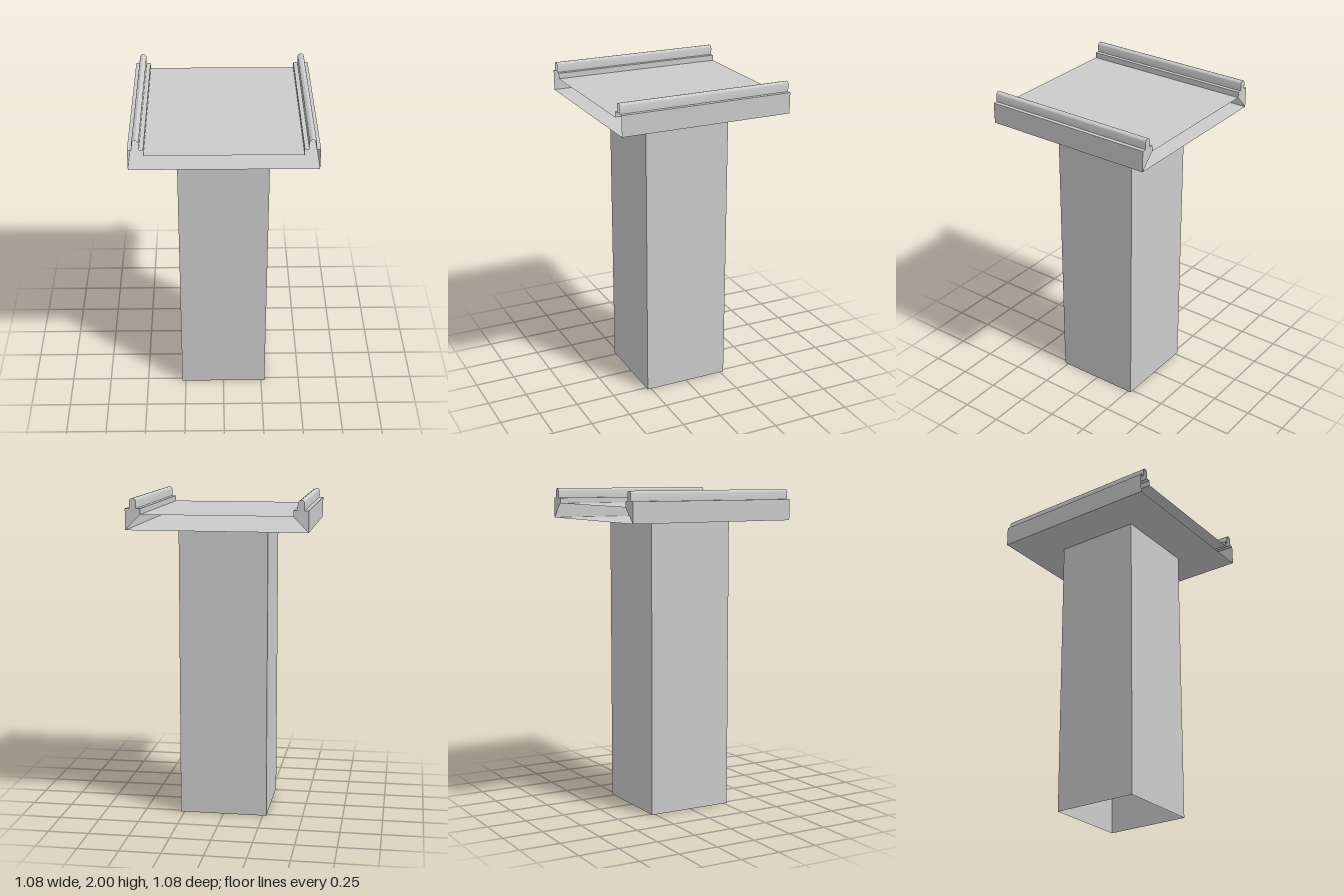
import * as THREE from 'three';
import { toCreasedNormals } from 'three/addons/utils/BufferGeometryUtils.js';

const HALF = 0.54;       // half width and half depth of the tray
const BASE = 1.813;      // underside of the tray
const DECK = 1.905;      // upper deck of the tray
const STEP = 1.94;       // shoulder of each rail
const RAIL_X = 0.495, RAIL_R = 0.02, INNER_X = 0.45;

// Section of one rail on the +x side, from the outer bottom corner to the deck
function railSection() {
  const pts = [[HALF, BASE], [HALF, STEP], [RAIL_X + RAIL_R, STEP]];
  const n = 12;
  for (let i = 0; i <= n; i++) {
    const a = (Math.PI * i) / n;
    pts.push([RAIL_X + RAIL_R * Math.cos(a), 2 - RAIL_R + RAIL_R * Math.sin(a)]);
  }
  pts.push([RAIL_X - RAIL_R, STEP], [INNER_X, STEP], [INNER_X, DECK]);
  return pts.map(([x, y]) => new THREE.Vector2(x, y));
}

// Sweeps a section along z into an open-ended skin
function sweep(section, closed) {
  const pos = [];
  const count = closed ? section.length : section.length - 1;
  for (let i = 0; i < count; i++) {
    const a = section[i], b = section[(i + 1) % section.length];
    pos.push(a.x, a.y, HALF, a.x, a.y, -HALF, b.x, b.y, -HALF);
    pos.push(a.x, a.y, HALF, b.x, b.y, -HALF, b.x, b.y, HALF);
  }
  const geo = new THREE.BufferGeometry();
  geo.setAttribute('position', new THREE.Float32BufferAttribute(pos, 3));
  return toCreasedNormals(geo, Math.PI / 5);
}

export function createModel() {
  const group = new THREE.Group();
  const material = new THREE.MeshStandardMaterial({ color: 0xcccccc, side: THREE.DoubleSide });
  const add = (name, geometry) => {
    const mesh = new THREE.Mesh(geometry, material);
    mesh.name = name;
    group.add(mesh);
    return mesh;
  };

  // Hollow square column, open at the bottom
  const column = new THREE.CylinderGeometry(0.273 * Math.SQRT2, 0.273 * Math.SQRT2, BASE, 4, 1, true);
  column.rotateY(Math.PI / 4);
  column.translate(0, BASE / 2, 0);
  add('column', toCreasedNormals(column, 0.5));

  // Tray skin: both rails, the deck between them and the flat underside
  const right = railSection();
  const left = right.map((p) => new THREE.Vector2(-p.x, p.y)).reverse();
  add('railTray', sweep([...right, ...left], true));

  // End caps closing the rails at the back
  for (const [name, section] of [['leftRailCap', right], ['rightRailCap', left]]) {
    const cap = new THREE.ShapeGeometry(new THREE.Shape(section));
    cap.rotateY(Math.PI);
    cap.scale(-1, 1, 1);
    // Mirroring flips the winding, so the corners are turned to face the back
    const idx = cap.index.array;
    for (let i = 0; i < idx.length; i += 3) [idx[i], idx[i + 1]] = [idx[i + 1], idx[i]];
    cap.translate(0, 0, -HALF);
    cap.computeVertexNormals();
    add(name, cap);
  }
  return group;
}
